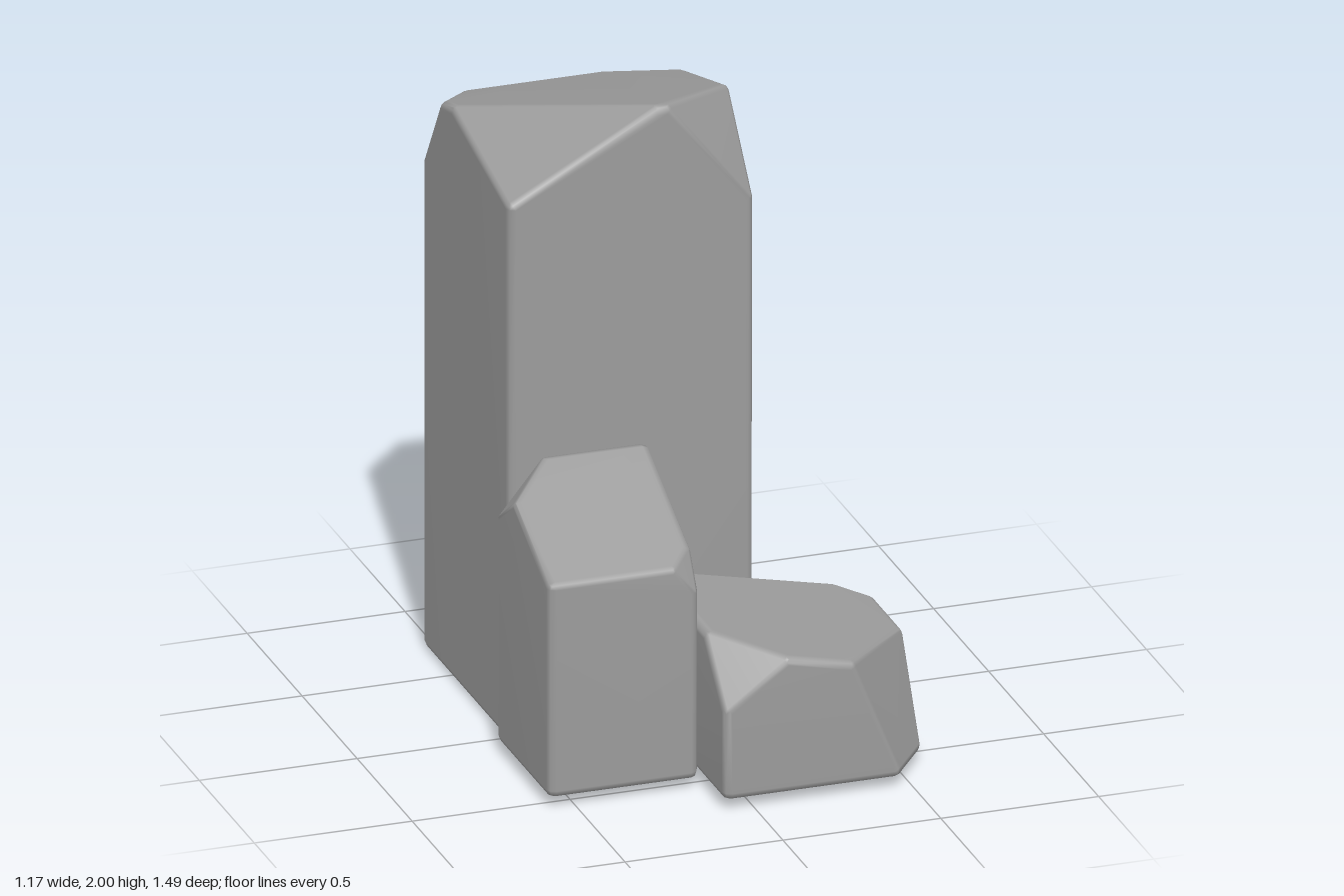
import * as THREE from 'three';
import { ConvexGeometry } from 'three/addons/geometries/ConvexGeometry.js';
import { mergeVertices } from 'three/addons/utils/BufferGeometryUtils.js';

const V = (p) => new THREE.Vector3(...p);

// A box trimmed by planes (three points each), with softly bevelled edges
function cutBlock(min, max, cuts, r) {
  const centre = V(min).add(V(max)).multiplyScalar(0.5);
  const planes = [];
  [[1, 0, 0], [0, 1, 0], [0, 0, 1]].forEach((axis, i) => {
    planes.push(new THREE.Plane(V(axis), -max[i]));
    planes.push(new THREE.Plane(V(axis).negate(), min[i]));
  });
  for (const [a, b, c] of cuts) {
    const plane = new THREE.Plane().setFromCoplanarPoints(V(a), V(b), V(c));
    if (plane.distanceToPoint(centre) > 0) plane.negate();
    planes.push(plane);
  }
  for (const p of planes) p.constant += r; // inset, then grow back with bevels

  const points = [];
  const n = planes.length;
  for (let i = 0; i < n; i++) for (let j = i + 1; j < n; j++) for (let k = j + 1; k < n; k++) {
    const trio = [planes[i], planes[j], planes[k]];
    const [a, b, c] = trio.map((p) => p.normal);
    const bc = b.clone().cross(c);
    const det = a.dot(bc);
    if (Math.abs(det) < 1e-5) continue;
    const corner = bc.multiplyScalar(-trio[0].constant)
      .addScaledVector(c.clone().cross(a), -trio[1].constant)
      .addScaledVector(a.clone().cross(b), -trio[2].constant)
      .divideScalar(det);
    if (planes.some((p) => p.distanceToPoint(corner) > 1e-6)) continue;
    // Face, edge and corner directions round the corner off
    const dirs = [a, b, c, a.clone().add(b), b.clone().add(c), c.clone().add(a),
      a.clone().add(b).add(c)];
    for (const d of dirs) points.push(corner.clone().addScaledVector(d.clone().normalize(), r));
  }
  const hull = new ConvexGeometry(points);
  hull.deleteAttribute('normal');
  const geometry = mergeVertices(hull, 1e-5);
  geometry.computeVertexNormals();
  return geometry;
}

export function createModel() {
  const group = new THREE.Group();
  const stone = new THREE.MeshStandardMaterial({ color: 0x9c9c9c });
  stone.name = 'stone grey';
  const add = (name, min, max, cuts, r = 0.025) => {
    const mesh = new THREE.Mesh(cutBlock(min, max, cuts, r), stone);
    mesh.name = name;
    group.add(mesh);
  };

  add('tallColumn', [-0.535, 0, -0.745], [0.245, 2.1, 0.038], [
    [[0, 2.01, 0.038], [1, 2.01, 0.038], [0, 1.79, -0.745]],                      // sloping top
    [[-0.04, 2.01, 0.038], [-0.535, 1.74, 0.038], [-0.535, 1.86, -0.5]],          // front left
    [[-0.04, 2.01, 0.038], [0.245, 1.65, 0.038], [0.245, 1.94, -0.2]],            // front right
    [[-0.535, 1.84, -0.57], [-0.4, 1.79, -0.745], [-0.535, 1.56, -0.745]],        // back left
    [[0.245, 0, -0.65], [0.13, 0, -0.745], [0.245, 1.8, -0.575]],                 // back right edge
  ]);

  add('middleBlock', [-0.585, 0.03, 0.07], [-0.108, 1, 0.552], [
    [[0, 0.953, 0.07], [1, 0.953, 0.07], [0, 0.725, 0.552]],                      // sloping top
    [[-0.585, 0.87, 0.24], [-0.42, 0.953, 0.07], [-0.585, 0.75, 0.07]],           // back left
    [[-0.108, 0.765, 0.465], [-0.19, 0.725, 0.552], [-0.108, 0.62, 0.552]],       // front right
  ]);

  add('lowBlock', [-0.095, 0.03, 0.062], [0.582, 0.6, 0.742], [
    [[-0.095, 0.518, 0], [-0.095, 0.518, 1], [0.582, 0.37, 0]],                   // sloping top
    [[-0.095, 0.518, 0.54], [0.12, 0.47, 0.742], [-0.095, 0.31, 0.742]],          // front left
    [[0.31, 0.43, 0.742], [0.47, 0.03, 0.742], [0.582, 0.37, 0.41]],              // front right
    [[0.46, 0.397, 0.062], [0.582, 0.37, 0.17], [0.582, 0.27, 0.062]],            // back right
  ]);

  return group;
}
